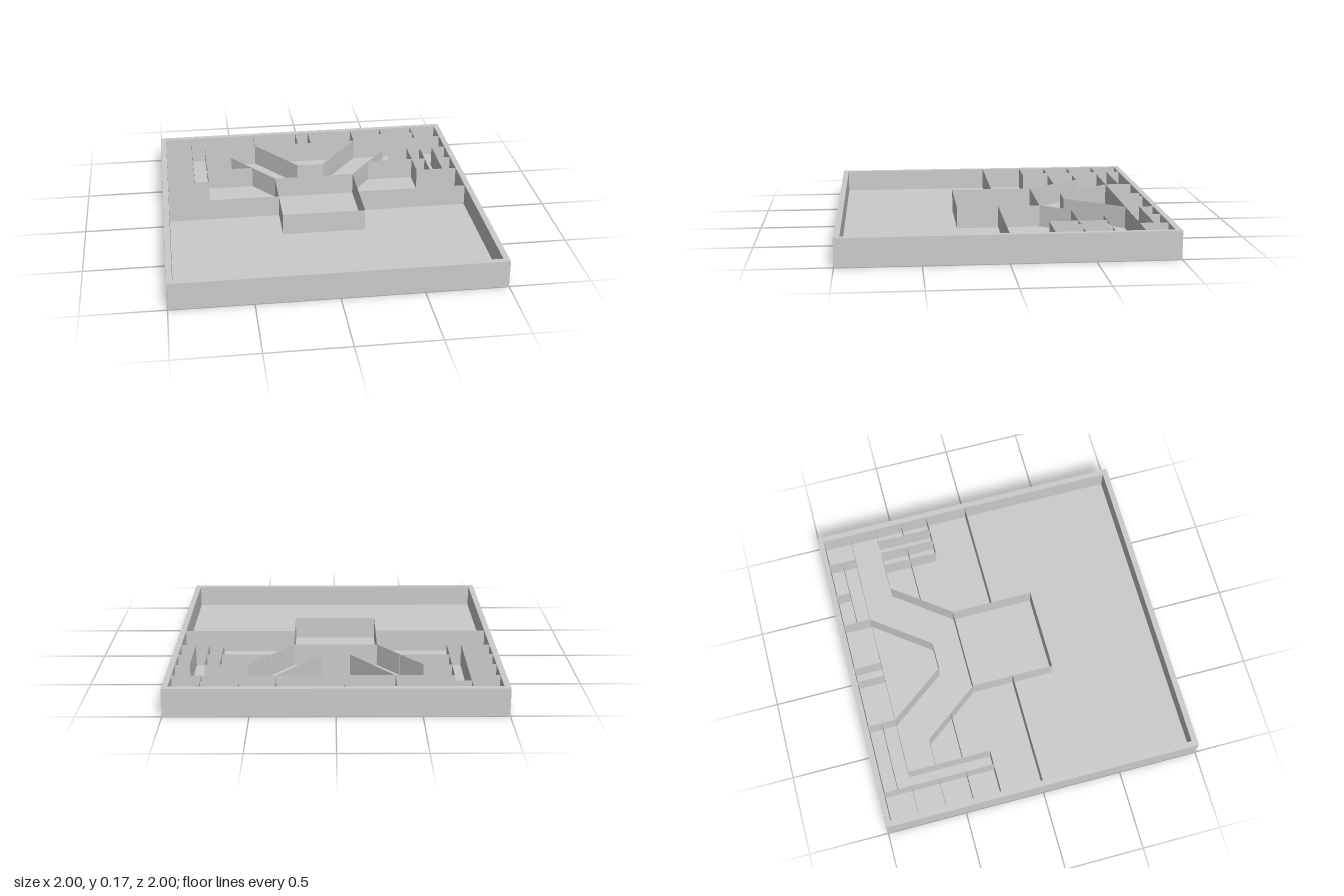
import * as THREE from 'three';

const TOP = 0.172, FLOOR = 0.035, IN = 0.964;

export function createModel() {
  const model = new THREE.Group();
  model.name = 'dividedTray';
  const solid = new THREE.MeshStandardMaterial({ color: 0xcccccc, flatShading: true });
  const thin = new THREE.MeshStandardMaterial({ color: 0xcccccc, flatShading: true, side: THREE.DoubleSide });

  const add = (geometry, material, name) => {
    const mesh = new THREE.Mesh(geometry, material);
    mesh.name = name;
    model.add(mesh);
    return mesh;
  };

  // Base slab
  add(new THREE.BoxGeometry(2, FLOOR, 2), solid, 'floor').position.y = FLOOR / 2;

  // Outer rim, a square ring standing on the slab
  const square = (r) => [[-r, -r], [r, -r], [r, r], [-r, r]].map(([x, y]) => new THREE.Vector2(x, y));
  const ring = new THREE.Shape(square(1));
  ring.holes.push(new THREE.Path(square(IN)));
  const rim = new THREE.ExtrudeGeometry(ring, { depth: TOP - FLOOR, bevelEnabled: false });
  rim.rotateX(-Math.PI / 2).translate(0, FLOOR, 0);
  add(rim, solid, 'outerRim');

  // Paper-thin partition following a plan path of [x, z] points
  const partition = (name, ...path) => {
    const geometry = new THREE.PlaneGeometry(1, 1, path.length - 1, 1);
    const pos = geometry.attributes.position;
    for (let i = 0; i < pos.count; i++) {
      const [x, z] = path[i % path.length];
      pos.setXYZ(i, x, i < path.length ? TOP : FLOOR, z);
    }
    geometry.computeVertexNormals();
    add(geometry, thin, name);
  };
  const alongX = (name, z, x0, x1) => partition(name, [x0, z], [x1, z]);
  const alongZ = (name, x, z0, z1) => partition(name, [x, z0], [x, z1]);

  // Central square compartment
  const c = 0.26;
  partition('centreBox', [-c, -c], [c, -c], [c, c], [-c, c], [-c, -c]);

  // Walls mirrored on both sides
  for (const s of [-1, 1]) {
    const side = s > 0 ? 'left' : 'right';
    alongX(side + 'MiddleWall', 0, s * c, s * IN);
    partition(side + 'DiagonalWall', [s * 0.527, -0.613], [s * c, -c]);
    alongX(side + 'BackShelf', -0.877, s * 0.35, s * 0.787);
    alongZ(side + 'BackDivider', s * 0.35, -IN, -0.79);
    alongZ(side + 'BackCornerDivider', s * 0.787, -IN, -0.79);
    alongX(side + 'RoomWall', -0.44, s * 0.393, s * (s > 0 ? 0.787 : 0.7));
    alongX(side + 'CellFront', -0.265, s * 0.697, s * IN);
    alongZ(side + 'CellInnerWall', s * 0.697, s > 0 ? -0.613 : -0.79, -0.265);
    alongZ(side + 'CellMiddleWall', s * 0.787, s > 0 ? -0.613 : -0.79, -0.265);
    // Small cells against the rim
    for (const z of [-0.613, -0.44]) {
      alongX(side + 'CellDivider', z, s * (s > 0 ? 0.873 : 0.787), s * IN);
    }
  }

  // Funnel-shaped wall behind the centre box
  partition('funnelWall', [-0.35, -0.79], [-0.088, -0.44], [0.085, -0.44], [0.35, -0.79]);

  // Back corridor and its narrow cells
  alongX('backWall', -0.79, -0.7, IN);
  alongX('backCornerWall', -0.79, -IN, -0.787);
  alongZ('backCentreDivider', -0.047, -IN, -0.79);
  alongZ('backCentreDivider', 0.044, -IN, -0.79);
  alongZ('backShortDivider', 0.563, -IN, -0.877);

  // Walls found on one side only
  alongX('rightRoomBack', -0.613, -0.7, -0.527);
  alongX('leftRoomBack', -0.613, 0.567, 0.787);
  alongZ('leftCellOuterWall', 0.873, -0.613, -0.265);

  return model;
}
